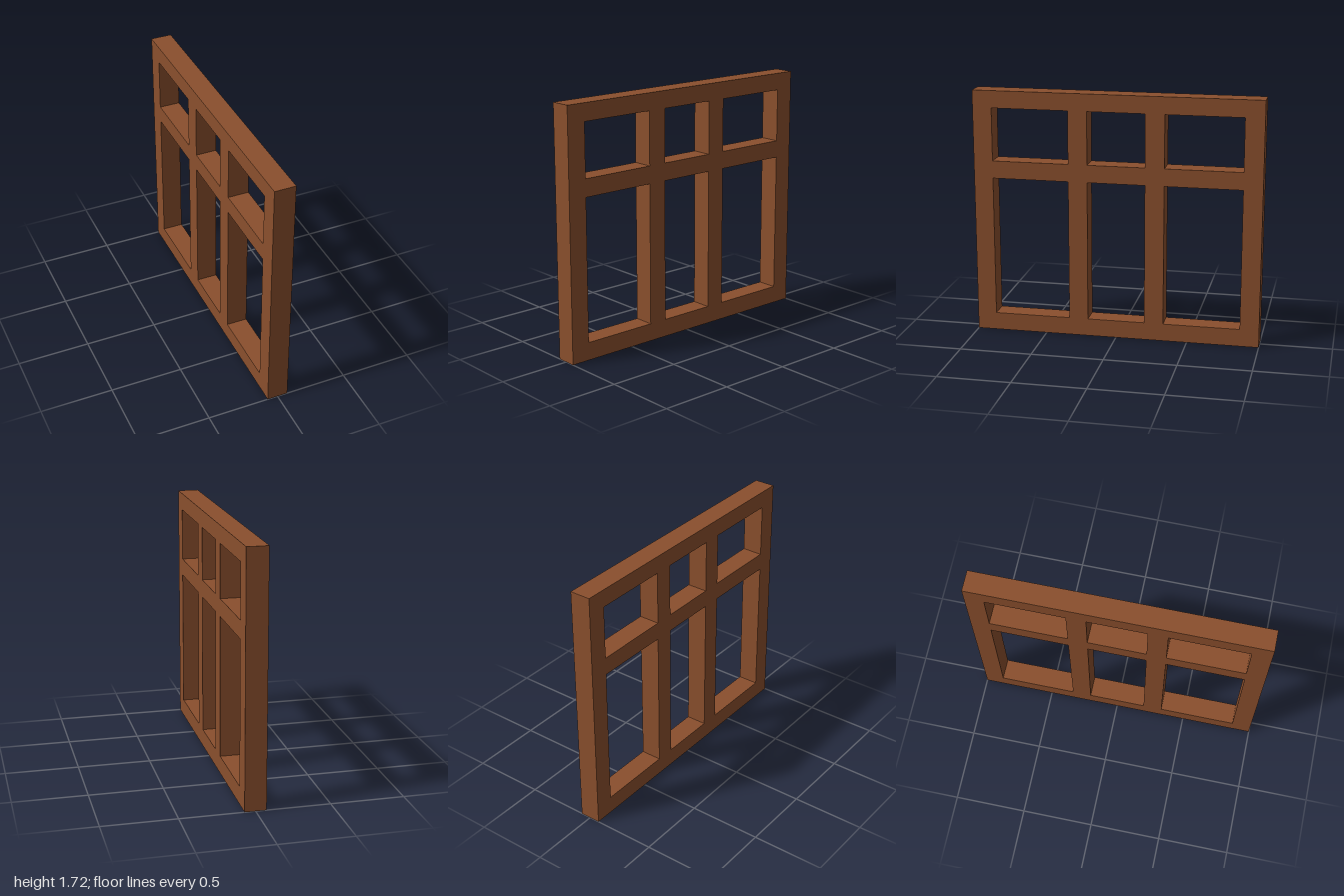
import * as THREE from 'three';

const DEPTH = 0.145;
const HEIGHT = 1.72;

// Rectangular outline from two corners
function rectangle(target, x0, y0, x1, y1) {
  target.moveTo(x0, y0);
  target.lineTo(x1, y0);
  target.lineTo(x1, y1);
  target.lineTo(x0, y1);
  target.closePath();
  return target;
}

export function createModel() {
  const group = new THREE.Group();
  group.name = 'window';

  const wood = new THREE.MeshStandardMaterial({ color: 0x8a4f2d });
  wood.name = 'brown wood';

  // Frame, mullions and crossbar in one piece, with six openings
  const outline = rectangle(new THREE.Shape(), -1, 0, 1, HEIGHT);
  const columns = [[-0.867, -0.333], [-0.2, 0.2], [0.333, 0.867]];
  const rows = [[0.123, 1.108], [1.23, 1.6]];
  for (const [x0, x1] of columns) {
    for (const [y0, y1] of rows) {
      outline.holes.push(rectangle(new THREE.Path(), x0, y0, x1, y1));
    }
  }

  const geometry = new THREE.ExtrudeGeometry(outline, { depth: DEPTH, bevelEnabled: false });
  geometry.translate(0, 0, -DEPTH / 2);
  geometry.rotateY(Math.PI / 2); // the window spans the z axis

  const frame = new THREE.Mesh(geometry, wood);
  frame.name = 'windowFrame';
  group.add(frame);
  return group;
}
